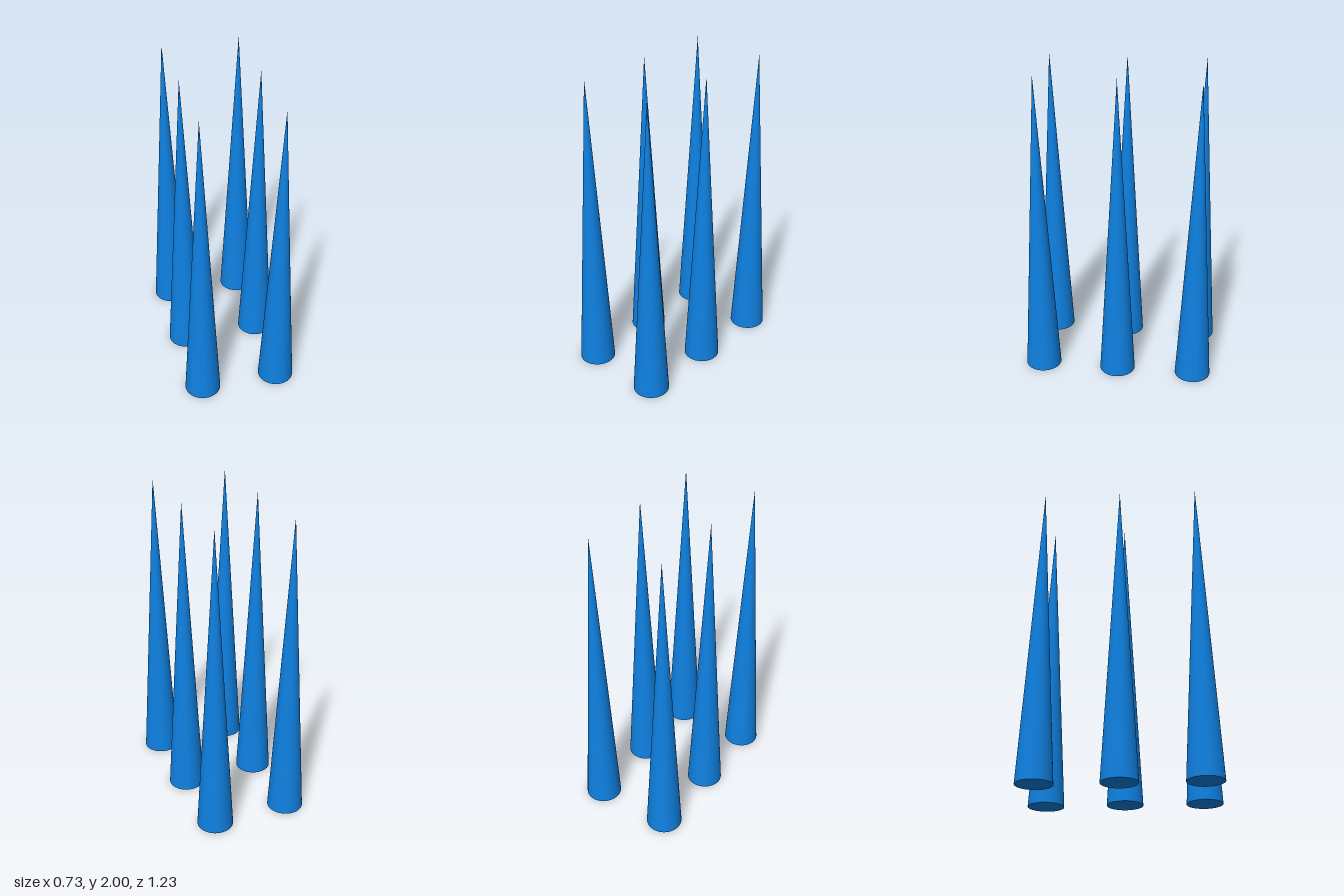
import * as THREE from 'three';

const RADIUS = 0.115;
const HEIGHT = 2;
const SPACING = 0.5;

export function createModel() {
  const model = new THREE.Group();
  model.name = 'spikes';

  const blue = new THREE.MeshStandardMaterial({ color: 0x0f80e0, flatShading: true });

  // One slender, closed cone standing on its base
  const spike = new THREE.ConeGeometry(RADIUS, HEIGHT, 64);
  spike.translate(0, HEIGHT / 2, 0);

  // Two columns of three spikes
  for (const [side, x] of [['left', SPACING / 2], ['right', -SPACING / 2]]) {
    for (const [row, z] of [['Front', SPACING], ['Middle', 0], ['Back', -SPACING]]) {
      const mesh = new THREE.Mesh(spike, blue);
      mesh.name = `${side}${row}Spike`;
      mesh.position.set(x, 0, z);
      model.add(mesh);
    }
  }
  return model;
}
